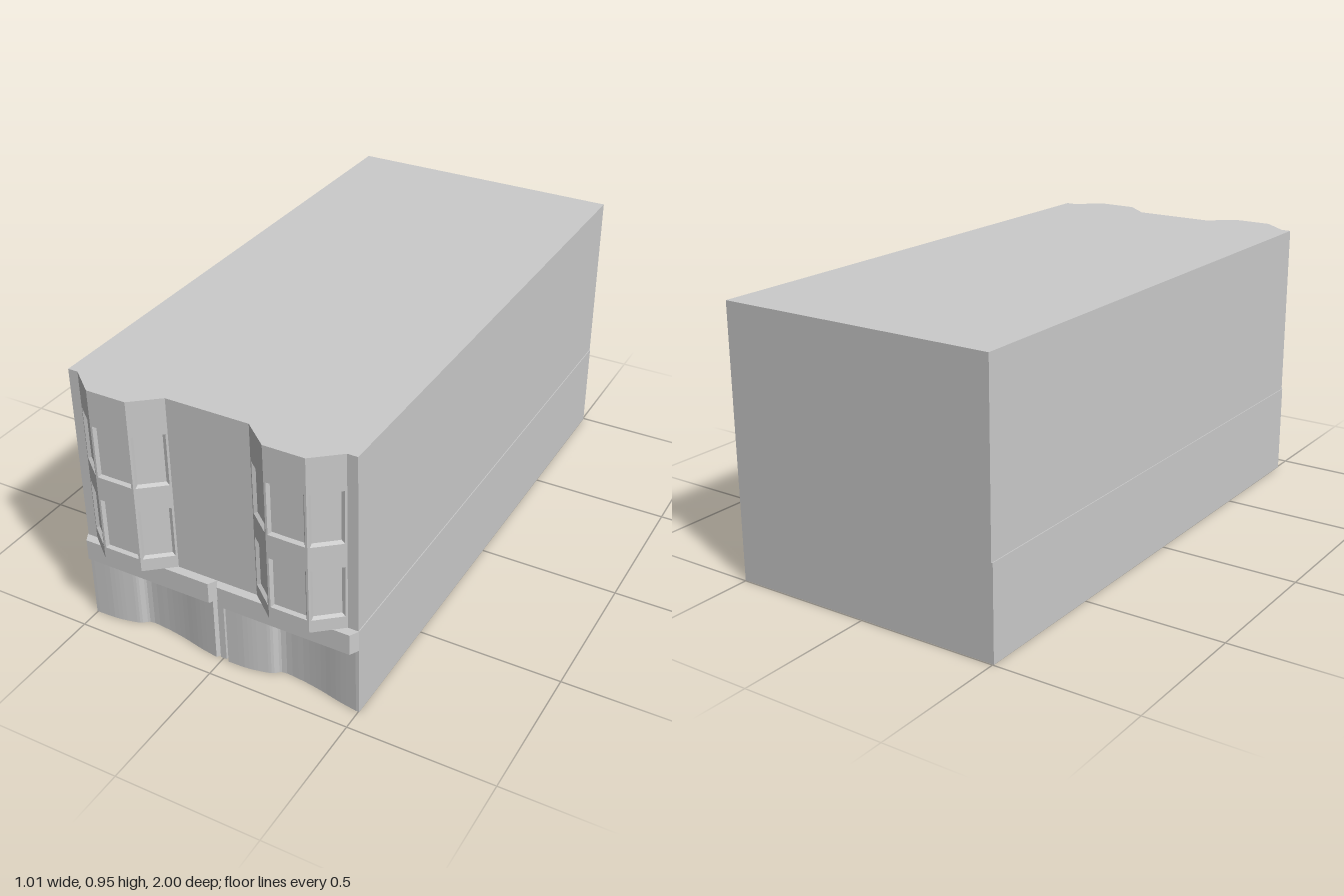
import * as THREE from 'three';

const mat = new THREE.MeshStandardMaterial({ color: 0xcccccc, flatShading: true, side: THREE.DoubleSide });

function mesh(geo, name) {
  const m = new THREE.Mesh(geo, mat);
  m.name = name;
  return m;
}

// Skin between successive rows of [x, y, z] points
function loft(rows, closed = false) {
  const pos = [];
  for (let r = 0; r < rows.length - 1; r++) {
    const lo = rows[r], hi = rows[r + 1], n = lo.length;
    for (let i = 0; i < (closed ? n : n - 1); i++) {
      const j = (i + 1) % n;
      pos.push(...lo[i], ...lo[j], ...hi[j], ...lo[i], ...hi[j], ...hi[i]);
    }
  }
  const g = new THREE.BufferGeometry();
  g.setAttribute('position', new THREE.Float32BufferAttribute(pos, 3));
  g.computeVertexNormals();
  return g;
}

const atY = (plan, y) => plan.map(([x, z]) => [x, y, z]);
const wall = (plan, y0, y1) => loft([atY(plan, y0), atY(plan, y1)]);

// Plan outlines are [x, z] pairs laid flat
const planShape = (plan) => new THREE.Shape(plan.map(([x, z]) => new THREE.Vector2(x, -z)));
const slab = (plan, y) => new THREE.ShapeGeometry(planShape(plan)).rotateX(-Math.PI / 2).translate(0, y, 0);
const rect = (x0, y0, x1, y1) => [[x0, y0], [x1, y0], [x1, y1], [x0, y1]];

const FRONT = 0.925, LEDGE = 0.325, TOP = 0.95, SHOP = 0.25;

// One flat side of a bay, pierced by two bevelled, recessed windows
function bayFacet(a, b) {
  const g = new THREE.Group();
  const w = Math.hypot(b[0] - a[0], b[1] - a[1]);
  const shape = new THREE.Shape(rect(0, LEDGE, w, TOP).map((p) => new THREE.Vector2(...p)));
  const margin = 0.007, bevel = 0.008, depth = 0.01;
  for (const [y0, y1] of [[0.37, 0.555], [0.64, 0.825]]) {
    const outer = rect(margin, y0, w - margin, y1);
    const inner = rect(margin + bevel, y0 + bevel, w - margin - bevel, y1 - bevel / 2);
    shape.holes.push(new THREE.Path(outer.map((p) => new THREE.Vector2(...p))));
    g.add(mesh(loft([outer.map((p) => [...p, 0]), inner.map((p) => [...p, -depth])], true), 'windowFrame'));
    const pane = new THREE.ShapeGeometry(new THREE.Shape(inner.map((p) => new THREE.Vector2(...p))));
    g.add(mesh(pane.translate(0, 0, -depth), 'windowPane'));
  }
  g.add(mesh(new THREE.ShapeGeometry(shape), 'bayWall'));
  g.position.set(a[0], 0, a[1]);
  g.rotation.y = Math.atan2(a[1] - b[1], b[0] - a[0]);
  g.name = 'bayFacet';
  return g;
}

const bayPlan = (cx) => [[cx - 0.16, FRONT], [cx - 0.07, 1], [cx + 0.07, 1], [cx + 0.16, FRONT]];

function bayWindow(cx) {
  const g = new THREE.Group();
  const plan = bayPlan(cx);
  for (let i = 0; i < 3; i++) g.add(bayFacet(plan[i], plan[i + 1]));
  g.add(mesh(slab(plan, LEDGE), 'baySoffit'));
  g.name = 'bayWindow';
  return g;
}

// Shop front that sweeps inward to a recessed entrance; s is its left edge in x
function shopFront(s) {
  const g = new THREE.Group();
  const key = [[0, 0], [0.07, 0.003], [0.12, 0.012], [0.155, 0.022], [0.178, 0.04],
    [0.25, 0.038], [0.33, 0.026], [0.4, 0.011], [0.468, 0]];
  const curve = new THREE.CatmullRomCurve3(key.map(([x, d]) => new THREE.Vector3(s + x, 0, FRONT - d)));
  const plan = curve.getPoints(28).map((p) => [p.x, Math.min(p.z, FRONT)]);
  g.add(mesh(loft([
    atY(plan, 0),
    plan.map(([x, z]) => [x, SHOP - (FRONT - z) * 0.25, z]),
    plan.map(([x]) => [x, SHOP, FRONT]),
  ]), 'shopWall'));
  g.name = 'shopFront';
  return g;
}

// Cornice with chamfered ends above one shop
function cornice(x0, x1) {
  const plan = [[x0, 0.88], [x0, FRONT], [x0 + 0.017, 0.955], [x1 - 0.017, 0.955], [x1, FRONT], [x1, 0.88]];
  const geo = new THREE.ExtrudeGeometry(planShape(plan), { depth: LEDGE - SHOP, bevelEnabled: false });
  return mesh(geo.rotateX(-Math.PI / 2).translate(0, SHOP, 0), 'cornice');
}

export function createModel() {
  const model = new THREE.Group();
  model.name = 'building';

  // Upper storeys
  const upper = [[0.5, FRONT], [0.5, -1], [-0.5, -1], [-0.5, FRONT]];
  model.add(mesh(wall(upper, LEDGE, TOP), 'upperWalls'));
  const left = bayPlan(-0.305), right = bayPlan(0.305);
  const facade = [[[-0.5, FRONT], left[0]], [left[3], right[0]], [right[3], [0.5, FRONT]]];
  for (const strip of facade) model.add(mesh(wall(strip, LEDGE, TOP), 'facadeStrip'));
  for (const cx of [-0.305, 0.305]) model.add(bayWindow(cx));
  model.add(mesh(slab([[-0.5, -1], [-0.5, FRONT], ...left, ...right, [0.5, FRONT], [0.5, -1]], TOP), 'roof'));

  // Ground storey, with a fine step where it meets the walls above
  const lower = [[0.503, FRONT], [0.503, -0.997], [-0.503, -0.997], [-0.503, FRONT]];
  model.add(mesh(loft([atY(lower, 0), atY(lower, LEDGE), atY(upper, LEDGE)]), 'groundWalls'));
  for (const s of [-0.491, 0.023]) model.add(shopFront(s));
  for (const x of [-0.503, 0]) model.add(cornice(x, x + 0.503));

  // Grooved pilaster between the shops and thin piers at the corners
  const groove = [[-0.023, FRONT], [-0.011, 0.905], [-0.011, 0.918], [0.011, 0.918], [0.011, 0.905], [0.023, FRONT]];
  model.add(mesh(wall(groove, 0, SHOP), 'middlePilaster'));
  for (const s of [-1, 1]) {
    model.add(mesh(wall([[0.497 * s - 0.006, FRONT], [0.497 * s + 0.006, FRONT]], 0, SHOP), 'cornerPier'));
  }
  return model;
}
